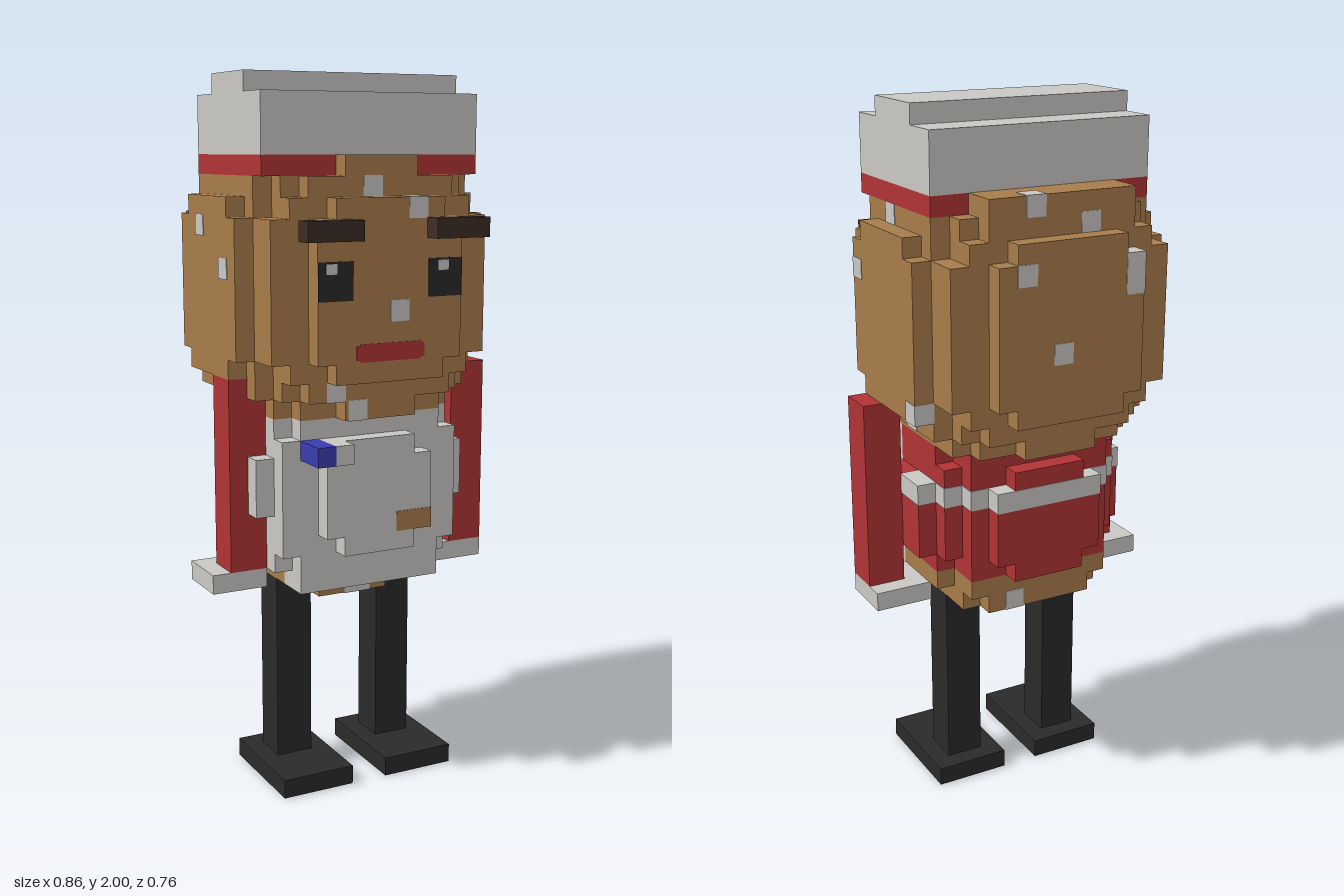
import * as THREE from 'three';

const U = 2 / 37; // one block

export function createModel() {
  const model = new THREE.Group();
  model.name = 'blockCook';
  const mat = (name, color) => {
    const m = new THREE.MeshStandardMaterial({ color });
    m.name = name;
    return m;
  };
  const white = mat('offWhite', 0xcac8c4);
  const red = mat('red', 0xb03335);
  const skin = mat('tan', 0xa87c4a);
  const hair = mat('darkBrown', 0x3d2d24);
  const dark = mat('charcoal', 0x2a2a2b);
  const blue = mat('blue', 0x3c3cb0);

  const part = (name) => {
    const g = new THREE.Group();
    g.name = name;
    model.add(g);
    return g;
  };
  // box from low to high corner, in block units
  const box = (g, name, m, x0, x1, y0, y1, z0, z1, grow = 0) => {
    const geo = new THREE.BoxGeometry((x1 - x0) * U + grow, (y1 - y0) * U + grow, (z1 - z0) * U + grow);
    const mesh = new THREE.Mesh(geo, m);
    mesh.position.set((x0 + x1) / 2 * U, (y0 + y1) / 2 * U, (z0 + z1) / 2 * U);
    mesh.name = name;
    g.add(mesh);
  };
  // centred box: half width, y range, z range
  const sym = (g, name, m, w, ...r) => box(g, name, m, -w, w, ...r);

  // head: stepped rounded block
  const head = part('head');
  [
    [6, 23, 30, -6, 5], [5, 22, 31, -6, 5], [6, 21, 32, -4, 3],
    [5, 21, 32, -5, 4], [4, 21, 32, -6, 5],
    [5, 20, 21, -4, 3], [4, 20, 21, -5, 4], [2, 20, 21, -6, 5],
  ].forEach((b) => sym(head, 'headCore', skin, ...b));
  // raised face, back and cheek plates
  for (const [z0, z1] of [[5, 6], [-7, -6]]) {
    sym(head, 'facePlate', skin, 4, 23, 30, z0, z1);
    sym(head, 'facePlate', skin, 3, 22, 31, z0, z1);
  }
  for (const x of [-7, 6]) {
    box(head, 'cheekPlate', skin, x, x + 1, 23, 30, -4, 3);
    box(head, 'cheekPlate', skin, x, x + 1, 22, 31, -3, 2);
  }
  sym(head, 'foreheadLedge', skin, 2, 32, 33, 4, 5);
  sym(head, 'backLedge', skin, 4, 32, 33, -6, -4);

  // face details
  const face = part('face');
  for (const s of [-1, 1]) {
    const plate = (name, m, x0, x1, y0, y1, z) =>
      box(face, name, m, Math.min(x0, x1), Math.max(x0, x1), y0, y1, 6, z);
    plate('eye', dark, s * 2.1, s * 4, 26.1, 28, 6.05);
    box(face, 'eyeGlint', white, s * 3 - 0.6 * (s < 0) - 0.4 * (s > 0), s * 3 + 0.2 * (s > 0), 27.4, 28 - 0.1, 6.05, 6.1);
    plate('eyebrow', hair, s * 2, s * 5, 29, 30, 7);
  }
  sym(face, 'mouth', red, 1.9, 23.15, 23.85, 6, 6.04);
  sym(face, 'mouth', red, 1.7, 23.05, 23.95, 6, 6.04);

  // pale spots, one block each
  const spots = part('spots');
  [
    [-1, 31, 4], [1, 30, 5], [6, 28, 2], [0, 25, 5], [-3, 21, 4], [-1.8, 20, 4],
    [5, 31, 0], [6, 22, -4], [5, 21, -2], [1, 32, -6], [-4, 29, -7], [-4, 28, -7],
    [-2, 31, -6], [0, 25, -7], [2, 29, -7], [-7, 29, -2], [-7, 27, 1],
    [0, 10, 1], [-0.5, 10, 1], [1, 11, -4], [-3, 11, -2],
  ].forEach(([x, y, z]) => box(spots, 'spot', white, x, x + 1, y, y + 1, z, z + 1, 0.003));

  // hat
  const hat = part('hat');
  sym(hat, 'hatBand', red, 6, 32, 33, -4, 4);
  sym(hat, 'hatBody', white, 6, 33, 36, -4, 4);
  sym(hat, 'hatCrest', white, 6, 36, 37, -2, 2);

  // torso: red coat behind, pale apron in front
  const torso = part('torso');
  [[5, 14, 19, -3, 2], [4, 13, 20, -4, 2], [5, 13, 20, -2, 2], [3, 14, 18, -5, -4], [2, 13, 19, -5, -4]]
    .forEach((b) => sym(torso, 'coat', red, ...b));
  [[5, 12, 20, 2, 3], [4, 11, 20, 2, 3], [4, 11, 20, 3, 4], [5, 13, 19, 3, 4], [3, 14, 18, 4, 5], [2, 13, 19, 4, 5]]
    .forEach((b) => sym(torso, 'apron', white, ...b));
  for (const x of [-6, 5]) {
    box(torso, 'coatSide', red, x, x + 1, 14, 18, -2, 2);
    box(torso, 'apronSide', white, x, x + 1, 15, 18, 2, 3);
  }
  // stripe round the back of the coat
  [[3, -5, -4], [4, -4, 0], [5, -3, 0], [6, -2, 0]]
    .forEach(([w, z0, z1]) => sym(torso, 'coatStripe', white, w, 17, 18, z0, z1, 0.004));
  // hips
  sym(torso, 'hips', skin, 4, 12, 13, -4, 2);
  sym(torso, 'hips', skin, 5, 12, 13, -2, 2);
  sym(torso, 'hips', skin, 3, 11, 12, -4, 2);
  sym(torso, 'hips', skin, 4, 11, 12, -3, 2);
  sym(torso, 'hips', skin, 2, 10, 11, -2, 2);
  // badge and apron patch
  box(torso, 'badge', blue, -4, -3, 18, 19, 4, 6);
  box(torso, 'badgeTab', white, -3, -2, 18, 19, 4, 6);
  box(torso, 'apronPatch', skin, 1, 3, 14, 15, 4, 5, 0.003);

  // arms
  const arms = part('arms');
  box(arms, 'rightArm', red, -7, -5, 12, 22, 0, 2);
  box(arms, 'leftArm', red, 6, 8, 12, 22, 0, 2);
  box(arms, 'rightHand', white, -8, -5, 11, 12, -1, 2);
  box(arms, 'leftHand', white, 5, 8, 11, 12, -1, 2);

  // legs and feet
  const legs = part('legs');
  for (const c of [-3, 3]) {
    box(legs, 'leg', dark, c - 1, c + 1, 1, 11, -1, 1);
    box(legs, 'foot', dark, c - 2, c + 2, 0, 1, -2, 4);
  }
  return model;
}
